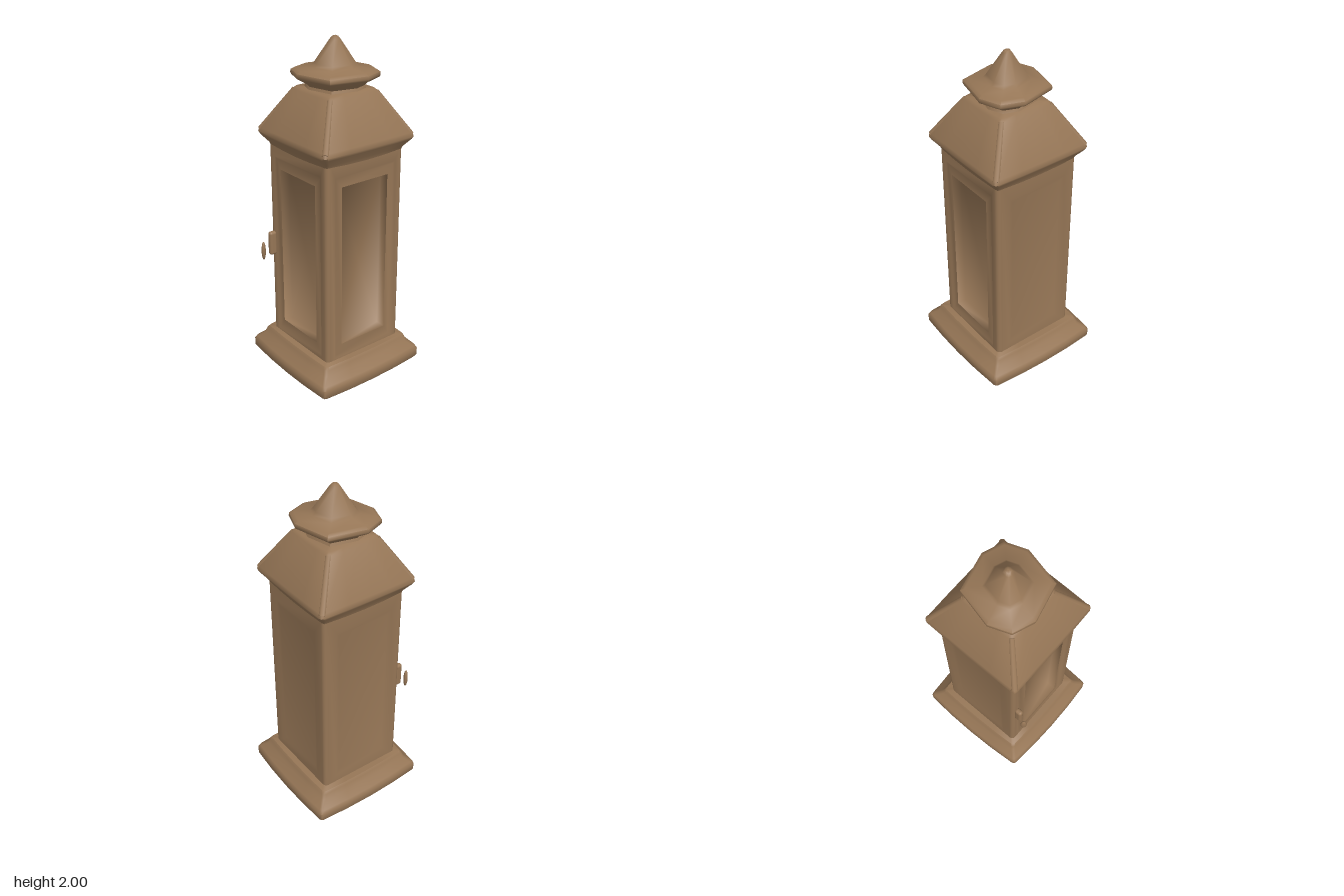
import * as THREE from 'three';
import { toCreasedNormals } from 'three/addons/utils/BufferGeometryUtils.js';
import { RoundedBoxGeometry } from 'three/addons/geometries/RoundedBoxGeometry.js';

const V = (x, y, z) => new THREE.Vector3(x, y, z);

// Skin a list of equal-length rings, with optional end caps
function loft(rings, capStart, capEnd, crease = 0.9) {
  const pos = [];
  const tri = (...points) => points.forEach((p) => pos.push(p.x, p.y, p.z));
  const n = rings[0].length;
  for (let j = 0; j < rings.length - 1; j++) {
    for (let i = 0; i < n; i++) {
      const k = (i + 1) % n;
      const a = rings[j][i], b = rings[j][k], c = rings[j + 1][k], d = rings[j + 1][i];
      tri(a, b, c);
      tri(a, c, d);
    }
  }
  const cap = (ring, flip) => {
    const mid = ring.reduce((s, p) => s.add(p), V(0, 0, 0)).divideScalar(n);
    ring.forEach((p, i) => {
      const q = ring[(i + 1) % n];
      flip ? tri(mid, q, p) : tri(mid, p, q);
    });
  };
  if (capStart) cap(rings[0], true);
  if (capEnd) cap(rings[rings.length - 1], false);
  const geo = new THREE.BufferGeometry();
  geo.setAttribute('position', new THREE.Float32BufferAttribute(pos, 3));
  return toCreasedNormals(geo, crease);
}

// Rounded square ring; r is the centre-to-corner reach, bow swells the sides,
// skew lengthens the front-to-back diagonal and shortens the other
function squareRing(r, y, round, bow, skew) {
  const pts = [];
  const m = (r - round) / Math.SQRT2, h = m + round;
  for (let k = 0; k < 4; k++) {
    const side = [];
    for (const t of [-0.5, 0, 0.5]) side.push([h + bow * (1 - t * t), t * m]);
    for (const a of [0, Math.PI / 4, Math.PI / 2]) {
      side.push([m + round * Math.cos(a), m + round * Math.sin(a)]);
    }
    const c = Math.cos(k * Math.PI / 2), s = Math.sin(k * Math.PI / 2);
    for (const [u, v] of side) {
      const x = u * c - v * s, z = -(u * s + v * c);
      pts.push(V(x - skew * z, y, z - skew * x));
    }
  }
  return pts;
}

// Upright rectangle ring facing +z
const rectRing = (w, y0, y1, z) => [V(-w, y0, z), V(w, y0, z), V(w, y1, z), V(-w, y1, z)];

// Eight-cornered ring for the cap and finial
const OCT = [[0.25, 0], [0.195, -0.12], [0, -0.24], [-0.195, -0.12],
  [-0.25, 0], [-0.195, 0.12], [0, 0.24], [0.195, 0.12]];
const octRing = (r, y) => OCT.map(([x, z]) => V(x * r / 0.25, y, z * r / 0.25));

export function createModel() {
  const model = new THREE.Group();
  model.name = 'lantern';
  const brown = new THREE.MeshStandardMaterial({ color: 0x967656 });
  brown.name = 'brown';

  const add = (parent, geo, name) => {
    const mesh = new THREE.Mesh(geo, brown);
    mesh.name = name;
    parent.add(mesh);
    return mesh;
  };

  // Square housing stands corner-forward
  const housing = new THREE.Group();
  housing.name = 'housing';
  housing.rotation.y = Math.PI / 4;
  model.add(housing);

  const base = [[0.505, 0], [0.52, 0.015], [0.52, 0.06], [0.505, 0.08],
    [0.45, 0.115], [0.435, 0.145], [0.42, 0.16]];
  add(housing, loft(base.map(([r, y]) => squareRing(r, y, 0.02, y < 0.1 ? 0.016 : 0.008, 0.011)), true, true), 'base');

  const roof = [[0.37, 1.36], [0.383, 1.385], [0.433, 1.43], [0.443, 1.445],
    [0.433, 1.47], [0.24, 1.70], [0.22, 1.715]];
  add(housing, loft(roof.map(([r, y]) => squareRing(r, y, 0.02, 0.004, 0)), true, true), 'roof');

  // Four walls: framed windows in front, shallow panels behind
  const reach = 0.272, post = 0.025;
  for (let k = 0; k < 4; k++) {
    const side = new THREE.Group();
    side.name = 'side';
    side.rotation.y = k * Math.PI / 2;
    housing.add(side);

    const outer = rectRing(reach - post, 0.15, 1.38, reach);
    if (k === 0 || k === 3) {
      const opening = rectRing(0.163, 0.25, 1.24, reach - 0.004);
      const frame = [outer, rectRing(0.215, 0.17, 1.31, reach),
        rectRing(0.205, 0.185, 1.295, reach - 0.008), opening];
      add(side, loft(frame, false, false), 'windowFrame');
      // Soft-edged recess behind the frame
      add(side, loft([opening, rectRing(0.16, 0.253, 1.237, reach - 0.06)], false, true, 1.8), 'windowRecess');
    } else {
      const panel = [outer, rectRing(0.19, 0.21, 1.28, reach), rectRing(0.165, 0.24, 1.25, reach - 0.008)];
      add(side, loft(panel, false, true), 'panelWall');
    }

    // Rounded corner post
    const corner = add(side, new THREE.CylinderGeometry(post, post, 1.23, 16), 'cornerPost');
    corner.position.set(reach - post, 0.765, reach - post);

    // Raised rib along the roof corner
    const low = V(0.425, 1.455, 0), high = V(0.225, 1.695, 0);
    for (const p of [low, high]) p.set(p.x / Math.SQRT2, p.y, p.x / Math.SQRT2);
    const rib = add(side, new THREE.CylinderGeometry(0.018, 0.02, low.distanceTo(high), 10), 'roofRib');
    rib.position.copy(low).add(high).multiplyScalar(0.5);
    rib.quaternion.setFromUnitVectors(V(0, 1, 0), high.clone().sub(low).normalize());
  }

  // Flared cap on a short neck, rising into a pointed finial
  const cap = [[0.18, 1.70], [0.165, 1.73], [0.18, 1.745], [0.245, 1.78],
    [0.25, 1.79], [0.248, 1.808], [0.225, 1.82], [0.135, 1.832],
    [0.118, 1.85], [0.03, 1.98], [0.018, 1.995], [0.004, 2]];
  add(model, loft(cap.map(([r, y]) => octRing(r, y)), true, true, 1.0), 'cap');

  // Latch on the right front wall, with its free-standing knob
  const latch = add(model, new RoundedBoxGeometry(0.035, 0.15, 0.05, 3, 0.016), 'latch');
  latch.position.set(-0.373, 0.755, 0.035);
  latch.rotation.y = -Math.PI / 4;
  const knob = add(model, new THREE.SphereGeometry(1, 12, 8), 'knob');
  knob.scale.set(0.013, 0.058, 0.02);
  knob.position.set(-0.424, 0.71, 0.06);

  return model;
}
